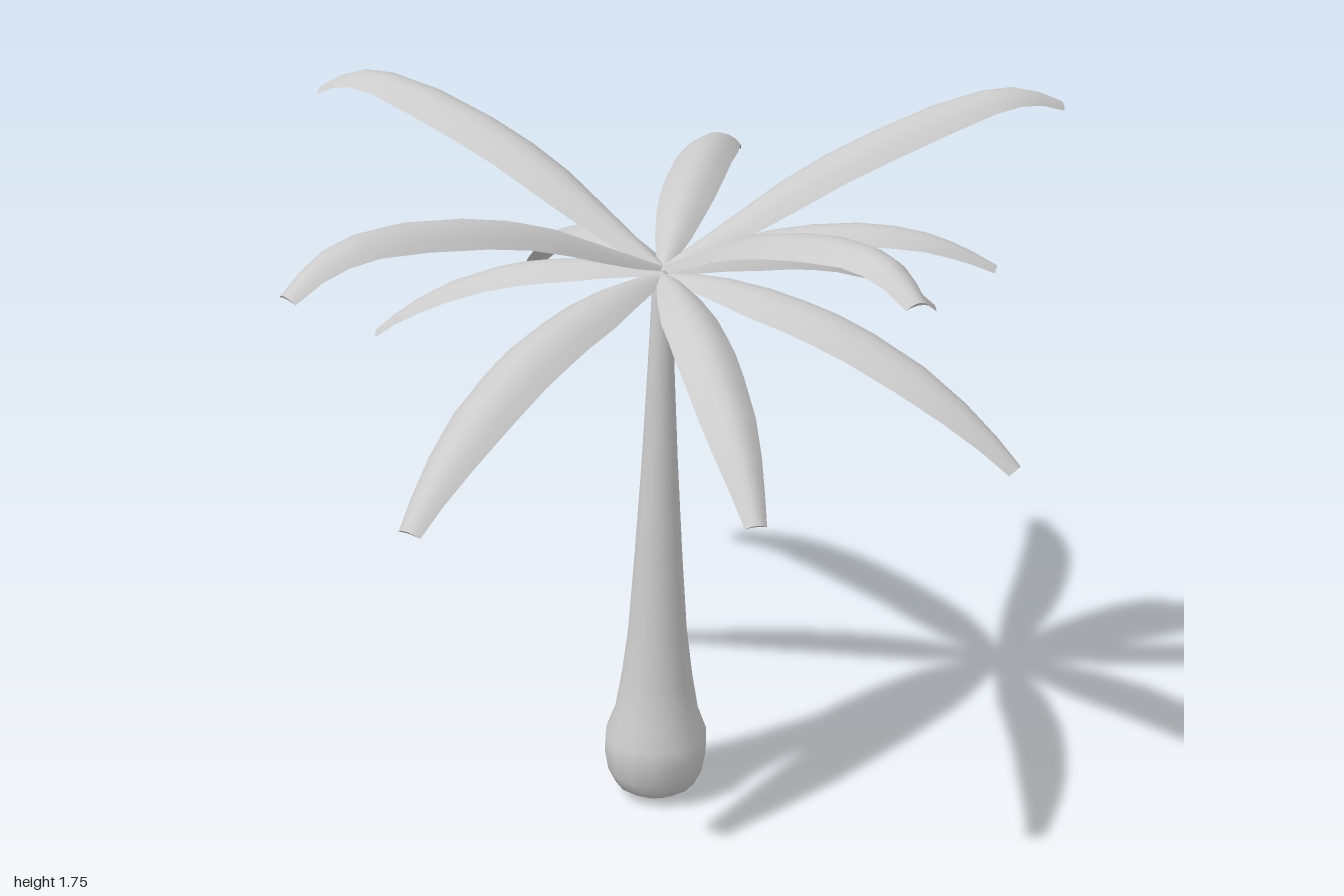
import * as THREE from 'three';
import { mergeGeometries } from 'three/addons/utils/BufferGeometryUtils.js';

const V = (x, y, z) => new THREE.Vector3(x, y, z);
const crown = V(0.065, 1.41, -0.08);

// Side outlines of the frond ridge: [share of reach, height above the crown per unit of reach]
const arcs = {
  high: [[0, 0], [0.16, 0.084], [0.33, 0.173], [0.52, 0.238], [0.77, 0.284], [0.9, 0.27], [1, 0.215]],
  middle: [[0, 0], [0.2, 0.083], [0.36, 0.122], [0.58, 0.136], [0.76, 0.108], [0.89, 0.056], [1, -0.011]],
  low: [[0, -0.02], [0.12, -0.004], [0.28, -0.01], [0.42, -0.032], [0.54, -0.064], [0.74, -0.152], [0.9, -0.262], [1, -0.353]],
};
// Blade width along the frond, as a share of its widest point
const widths = [[0, 0.2], [0.12, 0.6], [0.28, 0.92], [0.48, 1], [0.7, 0.94], [0.86, 0.7], [1, 0.36]];

// Linear reading of a table of pairs
function lookup(table, t) {
  const k = Math.max(1, table.findIndex((p) => p[0] >= t));
  const [a, b] = [table[k - 1], table[k]];
  return THREE.MathUtils.mapLinear(t, a[0], b[0], a[1], b[1]);
}

// Surface through rows of points
function grid(rows, flip = false) {
  const n = rows[0].length, index = [];
  for (let j = 0; j < rows.length - 1; j++) {
    for (let i = 0; i < n - 1; i++) {
      const a = j * n + i, b = a + 1, c = a + n, d = c + 1;
      index.push(...(flip ? [a, c, b, b, c, d] : [a, b, c, b, d, c]));
    }
  }
  const geo = new THREE.BufferGeometry().setFromPoints(rows.flat());
  geo.setIndex(index);
  geo.computeVertexNormals();
  return geo;
}

// Arched, hollow-bellied blade from the crown to its tip, bowed sideways by bend
function frondGeometry(kind, tipX, tipY, tipZ, width, bend) {
  const arc = arcs[kind];
  const dx = tipX - crown.x, dz = tipZ - crown.z, reach = Math.hypot(dx, dz);
  const shift = tipY - crown.y - arc[arc.length - 1][1] * reach;
  const side = V(-dz, 0, dx).normalize();
  const path = new THREE.CatmullRomCurve3(arc.map(([t, h]) =>
    V(crown.x + dx * t, crown.y + h * reach + shift * t * t, crown.z + dz * t)
      .addScaledVector(side, bend * 4 * t * (1 - t))));
  const top = [], bottom = [];
  const steps = 10, across = 6;
  for (let j = 0; j <= steps; j++) {
    const p = path.getPoint(j / steps);
    const t = ((p.x - crown.x) * dx + (p.z - crown.z) * dz) / (reach * reach);
    const half = width * lookup(widths, THREE.MathUtils.clamp(t, 0, 1)) / 2;
    const normal = side.clone().cross(path.getTangent(j / steps)).normalize();
    const upper = [], lower = [];
    for (let i = 0; i <= across; i++) {
      const u = (i / across) * 2 - 1;
      const drop = half * 0.55;
      const point = (h) => p.clone().addScaledVector(side, u * half).addScaledVector(normal, h);
      upper.push(point(-drop * u * u));
      lower.push(point(-drop * (0.5 + 0.5 * u * u)));
    }
    top.push(upper);
    bottom.push(lower);
  }
  return mergeGeometries([
    grid(top), grid(bottom, true),
    grid([top[steps], bottom[steps]]), grid([bottom[0], top[0]]),
  ]);
}

export function createModel() {
  const group = new THREE.Group();
  const material = new THREE.MeshStandardMaterial({ color: 0xcccccc });

  // Trunk with a bulbous foot, leaning very slightly towards the crown
  const profile = [[0, 0], [0.055, 0.003], [0.1, 0.03], [0.12, 0.07], [0.129, 0.12], [0.128, 0.165],
    [0.106, 0.225], [0.09, 0.32], [0.074, 0.45], [0.06, 0.65], [0.045, 0.9], [0.033, 1.15],
    [0.025, 1.34], [0.018, 1.39], [0, 1.4]];
  const trunkGeo = new THREE.LatheGeometry(profile.map(([r, y]) => new THREE.Vector2(r, y)), 14);
  trunkGeo.applyMatrix4(new THREE.Matrix4().set(
    1, 0.005, 0, 0.058, 0, 1, 0, 0, 0, -0.01, 1, -0.063, 0, 0, 0, 1));
  const trunk = new THREE.Mesh(trunkGeo, material);
  trunk.name = 'trunk';
  group.add(trunk);

  // Fronds: outline, tip position, widest breadth, sideways bow
  const fronds = [
    ['high', -1.0, 1.64, -0.25, 0.165, 0],
    ['high', -0.33, 1.61, 0.94, 0.17, 0.01],
    ['high', 0.98, 1.68, 0.46, 0.165, 0],
    ['high', 0.74, 1.7, -0.87, 0.165, 0],
    ['middle', 0.78, 1.43, -0.42, 0.125, 0],
    ['middle', -0.2, 1.41, -0.94, 0.145, 0],
    ['low', -0.68, 1.14, 0.03, 0.135, -0.015],
    ['low', -0.06, 1.08, 0.89, 0.175, 0.02],
    ['low', 0.64, 1.11, 0.54, 0.145, 0],
    ['low', 1.0, 1.085, -0.085, 0.17, 0],
    ['low', 0.43, 1.12, -0.84, 0.145, 0],
    ['low', -0.61, 1.12, -0.61, 0.14, 0],
  ];
  const crownGroup = new THREE.Group();
  crownGroup.name = 'crown';
  for (const [kind, ...shape] of fronds) {
    const frond = new THREE.Mesh(frondGeometry(kind, ...shape), material);
    frond.name = kind + 'Frond';
    crownGroup.add(frond);
  }
  group.add(crownGroup);
  return group;
}
